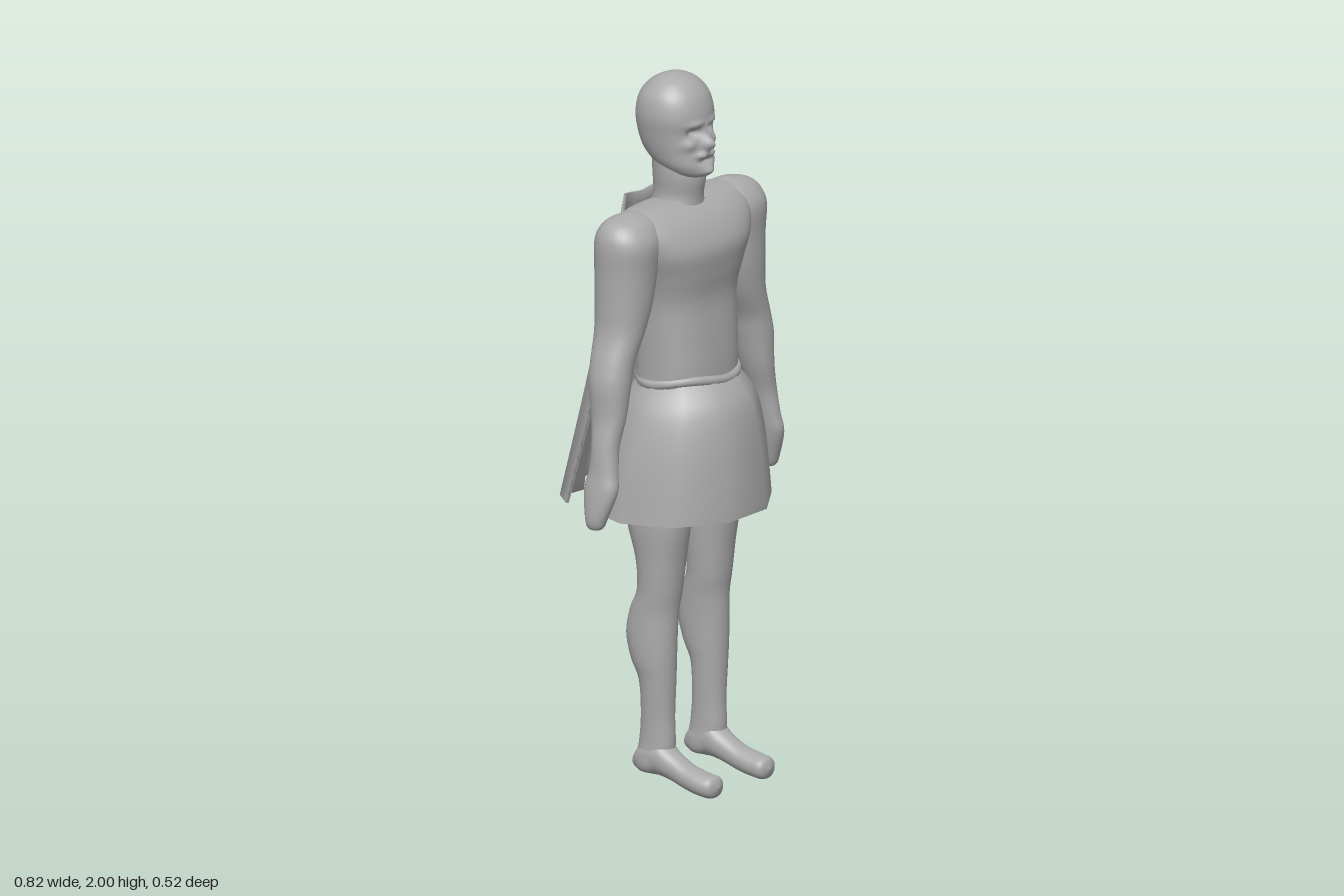
import * as THREE from 'three';

const grey = new THREE.MeshStandardMaterial({ color: 0xaaaaaa, side: THREE.DoubleSide });
grey.name = 'clay grey';

// Smoothly interpolates a list of equally long number rows
function smoothRows(rows, steps) {
  const out = [], last = rows.length - 1;
  const at = i => rows[Math.min(last, Math.max(0, i))];
  for (let i = 0; i < last; i++) {
    for (let s = 0; s < steps; s++) {
      const t = s / steps;
      out.push(at(i).map((b, k) => {
        const a = at(i - 1)[k], c = at(i + 1)[k], d = at(i + 2)[k];
        return b + 0.5 * t * (c - a + t * (2 * a - 5 * b + 4 * c - d + t * (3 * (b - c) + d - a)));
      }));
    }
  }
  out.push(rows[last]);
  return out;
}

// Joins closed rings of points, ordered from bottom to top
function skin(rings) {
  const n = rings[0].length, index = [];
  for (let r = 0; r < rings.length - 1; r++) {
    for (let i = 0; i < n; i++) {
      const a = r * n + i, b = r * n + (i + 1) % n;
      index.push(a, a + n, b, b, a + n, b + n);
    }
  }
  const g = new THREE.BufferGeometry();
  g.setAttribute('position', new THREE.Float32BufferAttribute(rings.flat(2), 3));
  g.setIndex(index);
  g.computeVertexNormals();
  return g;
}

// Rounded cross-sections: rows of [y, centre x, half width, back z, front z]
function loft(rows, sides = 32, power = 2, steps = 5) {
  const bend = v => Math.sign(v) * Math.abs(v) ** (2 / power);
  return skin(smoothRows(rows, steps).map(([y, cx, rx, zb, zf]) =>
    Array.from({ length: sides }, (_, i) => {
      const a = i / sides * Math.PI * 2;
      return [cx + rx * bend(Math.cos(a)), y, (zb + zf) / 2 + (zf - zb) / 2 * bend(Math.sin(a))];
    })));
}

function headGeometry() {
  const g = loft([
    [1.715, 0, 0, 0.05, 0.07], [1.722, 0, 0.045, 0.0, 0.115], [1.75, 0, 0.073, -0.04, 0.125],
    [1.79, 0, 0.088, -0.077, 0.118], [1.84, 0, 0.099, -0.093, 0.112], [1.89, 0, 0.106, -0.097, 0.114],
    [1.94, 0, 0.097, -0.086, 0.1], [1.975, 0, 0.07, -0.058, 0.072], [1.993, 0, 0.037, -0.025, 0.038],
    [2, 0, 0, 0.005, 0.005],
  ], 72, 2.1, 8);
  // Face relief: [x, y, spread x, spread y, depth]
  const bumps = [
    [0, 1.815, 0.014, 0.018, 0.034], [0, 1.845, 0.009, 0.02, 0.014],
    [0.036, 1.848, 0.017, 0.011, -0.02], [0.035, 1.872, 0.025, 0.008, 0.008],
    [0.055, 1.815, 0.017, 0.014, 0.01], [0.02, 1.785, 0.017, 0.007, 0.014],
    [0, 1.766, 0.025, 0.006, -0.014], [0, 1.738, 0.022, 0.013, 0.014],
  ];
  const p = g.attributes.position;
  for (let i = 0; i < p.count; i++) {
    const z = p.getZ(i);
    if (z < 0.03) continue;
    let push = 0;
    for (const [x, y, sx, sy, d] of bumps) {
      const dx = (Math.abs(p.getX(i)) - x) / sx, dy = (p.getY(i) - y) / sy;
      push += d * Math.exp(-dx * dx - dy * dy);
    }
    p.setZ(i, z + push * Math.min(1, (z - 0.03) / 0.03));
  }
  g.computeVertexNormals();
  return g;
}

// Hanging cloth: half rows of [x, y, z] from the side edge to the centre
function capeGeometry() {
  const halves = [
    [[0.23, 0.79, -0.19], [0.21, 0.8, -0.226], [0.13, 0.8, -0.216], [0.077, 0.82, -0.26], [0, 0.8, -0.233]],
    [[0.24, 1.2, -0.07], [0.195, 1.2, -0.13], [0.13, 1.2, -0.155], [0.073, 1.2, -0.175], [0, 1.2, -0.168]],
    [[0.19, 1.62, -0.032], [0.145, 1.63, -0.062], [0.08, 1.65, -0.105], [0.04, 1.645, -0.107], [0, 1.64, -0.107]],
  ];
  const rows = smoothRows(halves.map(h => h.flat()), 10);
  const rings = rows.map(row => {
    const half = [];
    for (let i = 0; i < row.length; i += 3) half.push(row.slice(i, i + 3));
    return [...half, ...half.slice(0, -1).reverse().map(([x, y, z]) => [-x, y, z])];
  });
  const thick = (line, t) => [
    ...line.map(([x, y, z]) => [x, y, z + t]),
    ...line.slice().reverse().map(([x, y, z]) => [x, y, z]),
  ];
  // Zero thickness closes the hem and the collar edge
  return skin([thick(rings[0], 0), ...rings.map(r => thick(r, 0.011)), thick(rings[rings.length - 1], 0)]);
}

// Slightly wavy waistband
function beltGeometry() {
  const points = Array.from({ length: 20 }, (_, i) => {
    const a = i / 20 * Math.PI * 2;
    return new THREE.Vector3(0.153 * Math.cos(a), 1.157 + 0.007 * Math.sin(3 * a + 1),
      0.054 + 0.119 * Math.sin(a));
  });
  return new THREE.TubeGeometry(new THREE.CatmullRomCurve3(points, true), 80, 0.013, 8, true);
}

export function createModel() {
  const model = new THREE.Group();
  model.name = 'capedFigure';
  const add = (name, geometry) => {
    const mesh = new THREE.Mesh(geometry, grey);
    mesh.name = name;
    model.add(mesh);
  };

  add('head', headGeometry());
  add('neck', loft([
    [1.56, 0, 0.12, -0.06, 0.1], [1.62, 0, 0.085, -0.055, 0.092], [1.66, 0, 0.066, -0.05, 0.092],
    [1.72, 0, 0.07, -0.052, 0.1], [1.8, 0, 0.072, -0.055, 0.08],
  ]));
  add('torso', loft([
    [0.92, 0, 0, 0.04, 0.04], [0.93, 0, 0.15, -0.06, 0.13], [1.05, 0, 0.155, -0.07, 0.155],
    [1.17, 0, 0.155, -0.062, 0.163], [1.28, 0, 0.16, -0.065, 0.157], [1.38, 0, 0.168, -0.07, 0.15],
    [1.46, 0, 0.19, -0.075, 0.162], [1.53, 0, 0.22, -0.075, 0.168], [1.59, 0, 0.245, -0.07, 0.14],
    [1.63, 0, 0.235, -0.055, 0.1], [1.648, 0, 0.19, -0.02, 0.055], [1.65, 0, 0, 0.02, 0.02],
  ], 48, 2.5));
  add('belt', beltGeometry());
  add('skirt', loft([
    [0.78, 0, 0.272, -0.215, 0.272], [0.9, 0, 0.254, -0.19, 0.264], [1.0, 0, 0.232, -0.155, 0.253],
    [1.08, 0, 0.205, -0.12, 0.235], [1.13, 0, 0.173, -0.09, 0.205], [1.16, 0, 0.15, -0.07, 0.175],
  ], 10, 2, 4));
  add('cape', capeGeometry());

  for (const [side, s] of [['left', 1], ['right', -1]]) {
    const limb = (name, rows, power) =>
      add(side + name, loft(rows.map(([t, x, ...rest]) => [t, s * x, ...rest]), 32, power));

    // Arm from fingertips to shoulder
    limb('Arm', [
      [0.79, 0.385, 0, 0.03, 0.03], [0.796, 0.385, 0.018, 0.01, 0.055], [0.83, 0.382, 0.027, 0, 0.07],
      [0.9, 0.37, 0.031, -0.012, 0.093], [0.95, 0.361, 0.031, -0.003, 0.087], [1.02, 0.35, 0.035, 0, 0.08],
      [1.1, 0.329, 0.042, -0.015, 0.086], [1.19, 0.317, 0.053, -0.03, 0.09], [1.25, 0.302, 0.055, -0.035, 0.09],
      [1.33, 0.268, 0.064, -0.045, 0.097], [1.41, 0.25, 0.077, -0.053, 0.105], [1.5, 0.24, 0.087, -0.058, 0.11],
      [1.57, 0.235, 0.094, -0.06, 0.115], [1.61, 0.23, 0.089, -0.05, 0.1], [1.638, 0.222, 0.067, -0.025, 0.07],
      [1.652, 0.215, 0, 0.02, 0.02],
    ], 2.15);

    // Leg with knee and calf
    limb('Leg', [
      [0.035, 0.115, 0, 0.02, 0.02], [0.042, 0.115, 0.034, -0.018, 0.055], [0.07, 0.115, 0.046, -0.03, 0.08],
      [0.12, 0.114, 0.042, -0.018, 0.09], [0.2, 0.114, 0.042, -0.01, 0.087], [0.3, 0.115, 0.048, -0.014, 0.09],
      [0.36, 0.116, 0.055, -0.04, 0.092], [0.43, 0.115, 0.058, -0.057, 0.094], [0.5, 0.112, 0.059, -0.045, 0.096],
      [0.56, 0.11, 0.062, -0.02, 0.104], [0.65, 0.109, 0.068, -0.025, 0.115], [0.78, 0.108, 0.077, -0.06, 0.134],
      [0.95, 0.09, 0.075, -0.06, 0.13],
    ], 2.1);

    // Foot lofted from heel to toes, then laid forward: [z, x, half width, -top, -sole]
    add(side + 'Foot', loft([
      [-0.033, s * 0.115, 0, -0.065, -0.065], [-0.027, s * 0.115, 0.028, -0.09, -0.045],
      [0.01, s * 0.115, 0.044, -0.13, -0.033], [0.06, s * 0.115, 0.044, -0.135, -0.033],
      [0.1, s * 0.115, 0.038, -0.105, -0.025], [0.15, s * 0.116, 0.038, -0.078, -0.01],
      [0.2, s * 0.117, 0.041, -0.065, -0.001], [0.237, s * 0.115, 0.034, -0.058, -0.001],
      [0.25, s * 0.114, 0, -0.03, -0.03],
    ], 28, 2.2).rotateX(Math.PI / 2));
  }
  return model;
}
